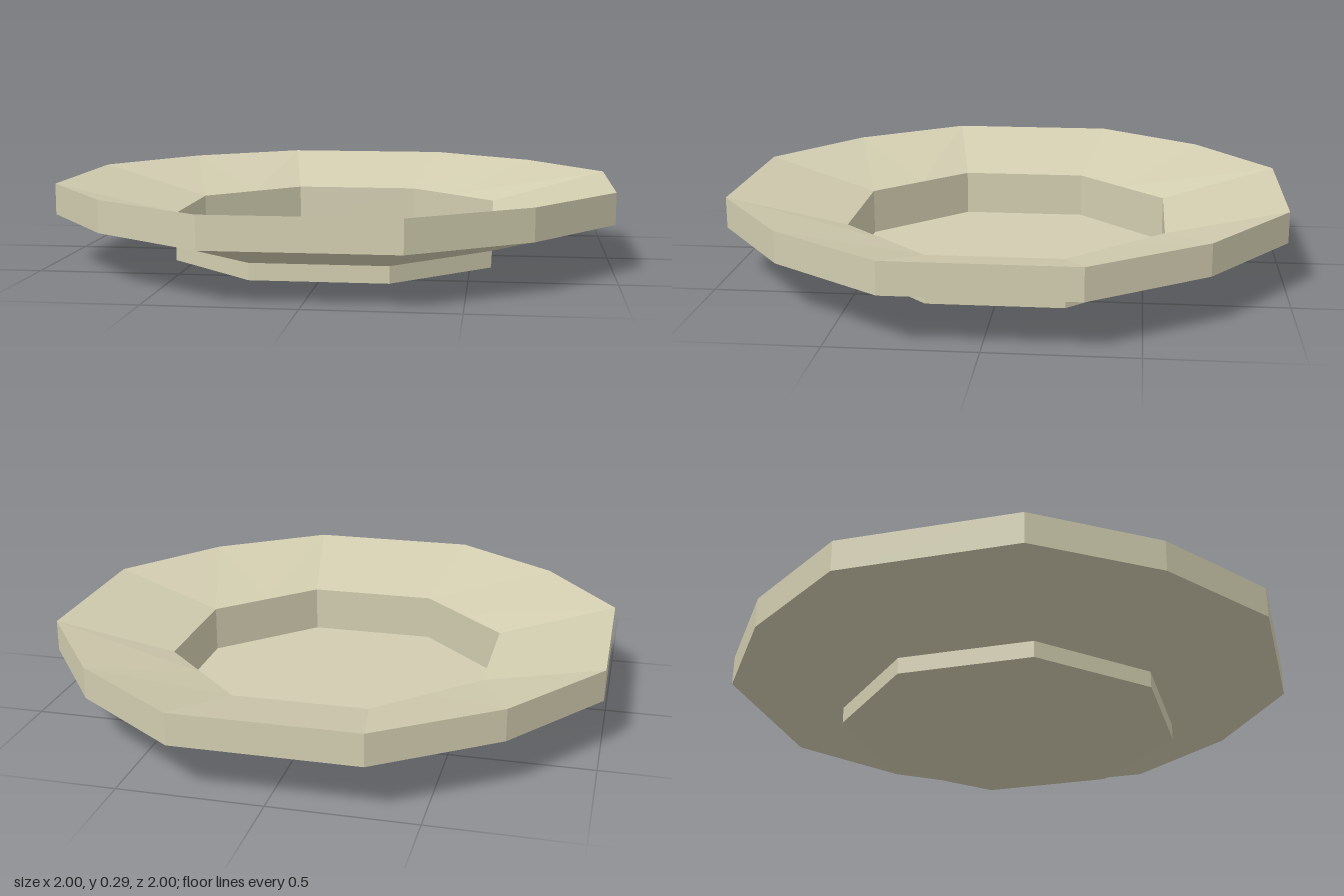
import * as THREE from 'three';

// One quarter of each twelve-point outline, as [x, z]
const OUTER = [[0.32, 1], [0.716, 0.716], [1, 0.32]];
const INNER = [[0.24, 0.575], [0.4075, 0.4075], [0.575, 0.24]];
const CENTRE = [[0, 0], [0, 0], [0, 0]];
const UP = new THREE.Vector3(0, 1, 0);

// Repeat the quarter around the axis at a given height
function ring(quarter, y) {
  const points = [];
  for (let q = 0; q < 4; q++) {
    for (const [x, z] of quarter) {
      points.push(new THREE.Vector3(x, y, z).applyAxisAngle(UP, q * Math.PI / 2));
    }
  }
  return points;
}

// Skin consecutive rings; faces point outward when going up the outside
function loft(rings) {
  const pos = [];
  const tri = (a, b, c) => {
    if (a.equals(b) || b.equals(c) || a.equals(c)) return;
    for (const p of [a, b, c]) pos.push(p.x, p.y, p.z);
  };
  for (let r = 0; r < rings.length - 1; r++) {
    const a = rings[r], b = rings[r + 1], n = a.length;
    for (let i = 0; i < n; i++) {
      const j = (i + 1) % n;
      tri(a[i], a[j], b[j]);
      tri(a[i], b[j], b[i]);
    }
  }
  const geometry = new THREE.BufferGeometry();
  geometry.setAttribute('position', new THREE.Float32BufferAttribute(pos, 3));
  geometry.computeVertexNormals();
  return geometry;
}

export function createModel() {
  const group = new THREE.Group();
  group.name = 'plate';
  const cream = new THREE.MeshStandardMaterial({ color: 0xd2cdb0, flatShading: true });
  cream.name = 'cream';

  const add = (name, rings) => {
    const mesh = new THREE.Mesh(loft(rings), cream);
    mesh.name = name;
    group.add(mesh);
  };

  // Octagonal foot: underside and short outer wall
  add('foot', [ring(CENTRE, 0), ring(INNER, 0), ring(INNER, 0.06)]);
  // Flared rim: sloped underside, upright edge, sloped top
  add('rim', [ring(INNER, 0.06), ring(OUTER, 0.175), ring(OUTER, 0.287), ring(INNER, 0.175)]);
  // Well: inner wall and flat floor
  add('well', [ring(INNER, 0.175), ring(INNER, 0.004), ring(CENTRE, 0.004)]);

  return group;
}
